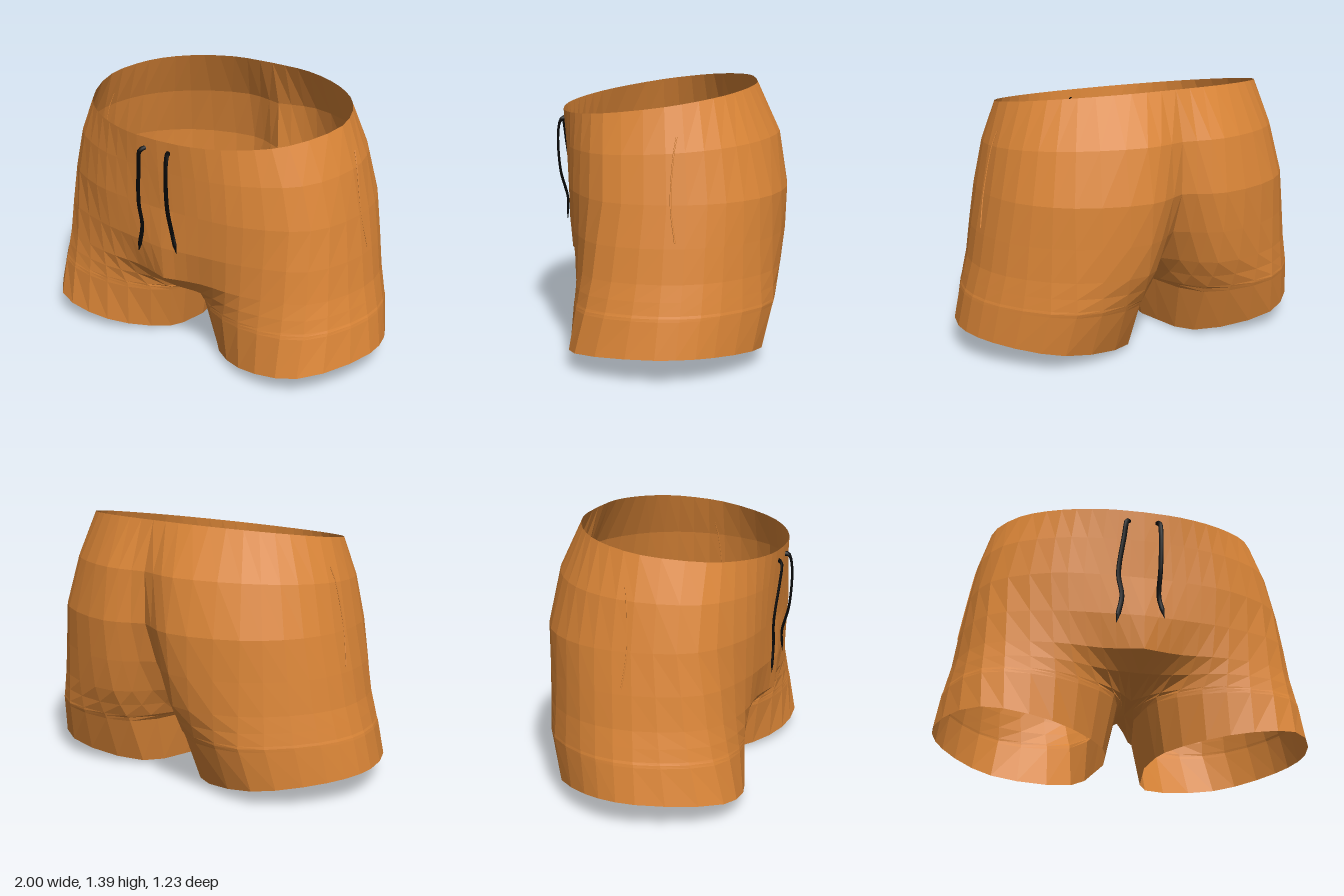
import * as THREE from 'three';

const { lerp, clamp } = THREE.MathUtils;

const fabric = new THREE.MeshStandardMaterial({ color: 0xdd8738, side: THREE.DoubleSide, flatShading: true });
fabric.name = 'orange fabric';
const cord = new THREE.MeshStandardMaterial({ color: 0x080808 });
cord.name = 'black cord';

// Key outlines of one half, [x, z] from the front round the hip to the back
const waist = [[.2, .565], [.43, .49], [.63, .34], [.75, .04], [.67, -.2], [.5, -.35], [.25, -.445]];
const hip = [[.23, .545], [.48, .505], [.77, .34], [.865, .03], [.81, -.26], [.6, -.5], [.22, -.615]];
const crotch = [[.11, .34], [.44, .495], [.8, .43], [.965, .07], [.9, -.23], [.6, -.515], [.2, -.46]];
const hem = [[.16, .29], [.45, .5], [.8, .485], [1, .09], [.93, -.2], [.64, -.455], [.21, -.34]];
const outlines = [waist, hip, crotch, hem];

// Rows of the cloth: place between the outlines (0 waist to 3 hem), height,
// and z of the front and back seam, which meet under the crotch
const rows = [
  [0, 1.24, .58, -.46], [.6, 1.07, .57, -.53], [1, .86, .555, -.53], [1.35, .64, .56, -.45], [1.6, .46, .545, -.32],
  [1.8, .37, .44, -.2], [1.95, .3, .24, -.08], [2, .285, .07, .07], [2.1, .26, .07, .07], [3, -.016, .06, .06],
];

// How early or late the cloth beside the front and back seam moves to the next outline
const frontEase = [1, 3, 1];
const backEase = [0.6, 2, 1];

// Cross-section curve of one row, from front seam to back seam
function rowCurve([at, , front, back]) {
  const k = Math.min(Math.floor(at), 2);
  const f = at - k;
  const seamX = at > 2 ? 0.045 + 0.065 * (at - 2) : 0;
  const middle = outlines[k].map(([x, z], i) => {
    let t = f;
    if (i === 0) t = f ** frontEase[k];
    if (i === 6) t = f ** backEase[k];
    const [nextX, nextZ] = outlines[k + 1][i];
    return new THREE.Vector3(lerp(x, nextX, t), 0, lerp(z, nextZ, t));
  });
  return new THREE.CatmullRomCurve3([
    new THREE.Vector3(seamX, 0, front), ...middle, new THREE.Vector3(seamX, 0, back),
  ]);
}

// One half of the shorts, lofted through the rows
function halfShorts(sign) {
  const columns = 24;
  const positions = [];
  const index = [];
  rows.forEach((row, r) => {
    const [at, height, front] = row;
    const curve = rowCurve(row);
    // The waist rises to the back, the hem to the outside
    const backRise = 0.144 * Math.max(0, 1 - at);
    const sideRise = 0.04 * clamp(at - 1, 0, 1) + 0.106 * Math.max(0, at - 2);
    for (let c = 0; c <= columns; c++) {
      const q = curve.getPoint(c / columns);
      const x = Math.max(0, q.x);
      const y = height + backRise * (front - q.z) + sideRise * x;
      positions.push(sign * x, Math.max(0, y), q.z);
      if (r === 0 || c === 0) continue;
      const d = r * (columns + 1) + c;
      const b = d - 1;
      const e = d - columns - 1;
      const a = e - 1;
      if (sign > 0) index.push(a, b, e, b, d, e);
      else index.push(a, e, b, b, e, d);
    }
  });
  const geometry = new THREE.BufferGeometry();
  geometry.setAttribute('position', new THREE.Float32BufferAttribute(positions, 3));
  geometry.setIndex(index);
  geometry.computeVertexNormals();
  return new THREE.Mesh(geometry, fabric);
}

function tube(points, radius, material) {
  const curve = new THREE.CatmullRomCurve3(points);
  return new THREE.Mesh(new THREE.TubeGeometry(curve, 24, radius, 6), material);
}

// A flat cord with a pointed end: a round one, pressed thin in z
function drawstring(path) {
  const flatness = 0.5;
  const points = path.map(([x, y, z]) => new THREE.Vector3(x, y, z / flatness));
  const group = new THREE.Group();
  group.add(tube(points, 0.013, cord));
  const [before, end] = points.slice(-2);
  const direction = end.clone().sub(before).normalize();
  const tip = new THREE.Mesh(new THREE.ConeGeometry(0.013, 0.05, 6), cord);
  tip.position.copy(end).addScaledVector(direction, 0.025);
  tip.quaternion.setFromUnitVectors(new THREE.Vector3(0, 1, 0), direction);
  group.add(tip);
  group.scale.z = flatness;
  return group;
}

export function createModel() {
  const model = new THREE.Group();
  model.name = 'shorts';
  const add = (part, name) => {
    part.name = name;
    model.add(part);
  };

  for (const [sign, side] of [[1, 'left'], [-1, 'right']]) {
    add(halfShorts(sign), side + 'Half');
    // Pocket opening edge down the side seam
    const edge = [[.793, 1.18, -.02], [.818, 1.1, -.005], [.865, .86, .01], [.897, .68, -.01]];
    add(tube(edge.map(([x, y, z]) => new THREE.Vector3(sign * x, y, z)), 0.004, fabric), side + 'PocketEdge');
  }

  // Two loose cords hanging from the waistband
  add(drawstring([[.065, 1.185, .56], [.077, 1.175, .595], [.08, 1.1, .61], [.077, .9, .6], [.075, .75, .563], [.092, .68, .563]]), 'leftDrawstring');
  add(drawstring([[-.075, 1.185, .56], [-.1, 1.165, .593], [-.112, 1.08, .588], [-.138, .86, .565], [-.12, .74, .563], [-.14, .63, .563]]), 'rightDrawstring');
  return model;
}
